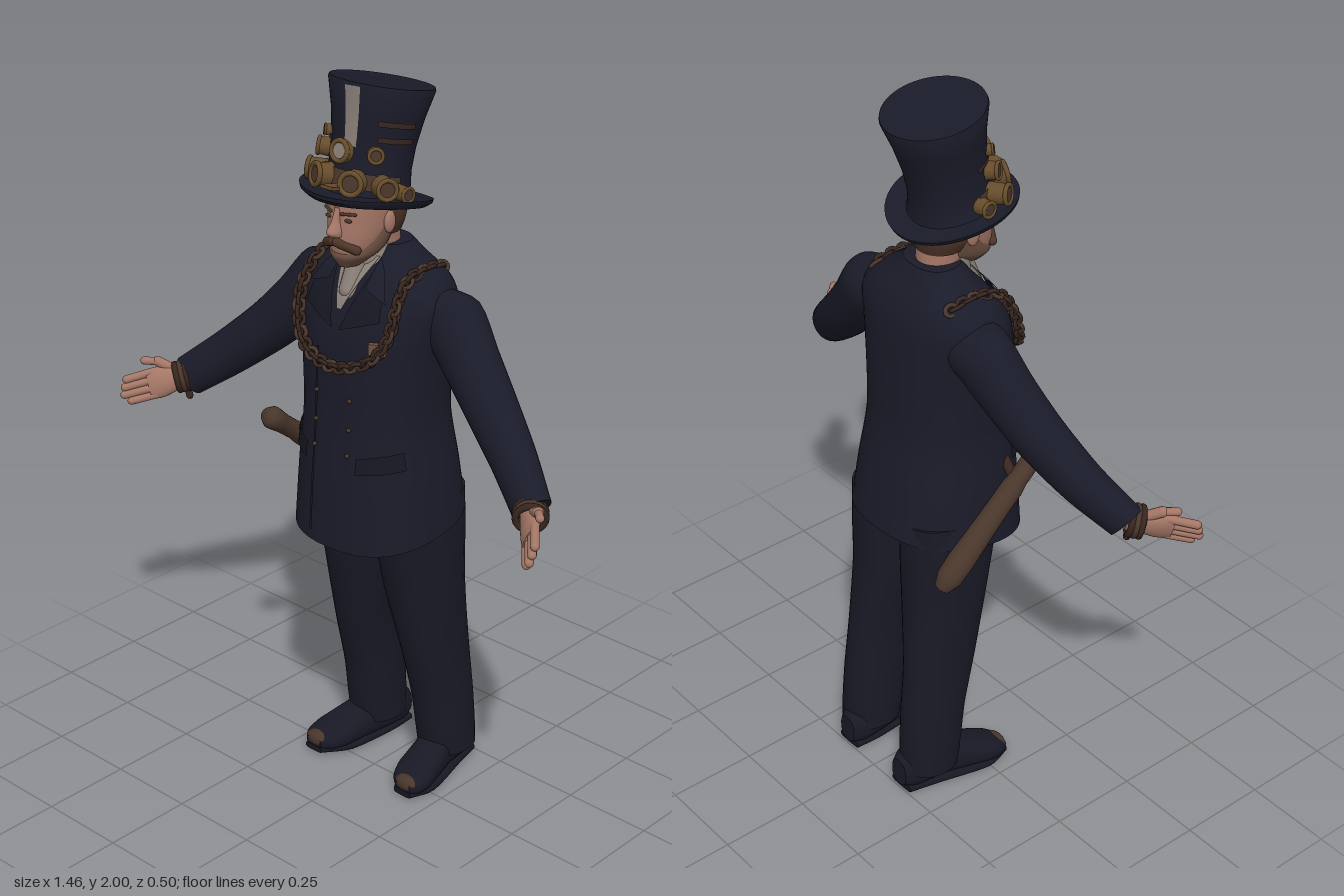
import * as THREE from 'three';
import { toCreasedNormals } from 'three/addons/utils/BufferGeometryUtils.js';

const V = (x, y, z) => new THREE.Vector3(x, y, z), X = V(1, 0, 0), Y = V(0, 1, 0), Z = V(0, 0, 1);
const mat = (name, color) => Object.assign(new THREE.MeshStandardMaterial({ color, side: THREE.DoubleSide }), { name });
const M = {
  coat: mat('navy cloth', 0x1a1b29), trim: mat('dark navy trim', 0x161722), trousers: mat('trouser cloth', 0x181925),
  skin: mat('skin', 0xa57767), hair: mat('brown hair', 0x4d3428), stubble: mat('short beard', 0x6e5143),
  brass: mat('old brass', 0x664c2b), leather: mat('brown leather', 0x49362b), chain: mat('dark bronze', 0x38261f),
  linen: mat('pale linen', 0x8b8179),
};

function add(parent, name, geo, material, x = 0, y = 0, z = 0) {
  const m = Object.assign(new THREE.Mesh(geo, material), { name });
  m.position.set(x, y, z);
  parent.add(m);
  return m;
}

// Smooth curves through sections [x, y, z, halfU, halfV, tilt]
function curves(secs) {
  const c = f => new THREE.CatmullRomCurve3(secs.map(f), false, 'catmullrom', 0.4);
  return [c(s => V(s[0], s[1], s[2])), c(s => V(s[3], s[4], s[5] || 0))];
}

// Closed body skinned over superellipse sections, with flat end caps
function loft(secs, u = X, v = Z, n = 2, segs = 32) {
  const [P, Q] = curves(secs), rows = (secs.length - 1) * 4, pos = [], idx = [];
  const rings = [[0, 0], [0, 1], ...Array.from({ length: rows + 1 }, (_, r) => [r / rows, 1]), [1, 1], [1, 0]];
  rings.forEach(([t, size], r) => {
    const p = P.getPoint(t), q = Q.getPoint(t);
    for (let i = 0; i < segs; i++) {
      const a = i / segs * Math.PI * 2, f = k => size * Math.sign(k) * Math.abs(k) ** (2 / n);
      const du = q.x * f(Math.cos(a)), dv = q.y * f(Math.sin(a));
      const w = p.clone().addScaledVector(u, du).addScaledVector(v, dv);
      pos.push(w.x, w.y + q.z * dv, w.z);
      const c = r * segs + i, d = r * segs + (i + 1) % segs;
      if (r < rings.length - 1) idx.push(c, c + segs, d, d, c + segs, d + segs);
    }
  });
  const g = new THREE.BufferGeometry().setIndex(idx);
  g.setAttribute('position', new THREE.Float32BufferAttribute(pos, 3));
  g.computeVertexNormals();
  return g;
}

// Rounded rod between two points
function rod(parent, name, a, b, r, material) {
  const d = b.clone().sub(a), m = add(parent, name, new THREE.CapsuleGeometry(r, d.length(), 5, 12), material);
  m.position.copy(a).addScaledVector(d, 0.5);
  m.quaternion.setFromUnitVectors(Y, d.normalize());
}

const coatSecs = [[0, .79, -.024, .218, .207, -.16], [0, .95, -.018, .205, .19, -.05], [0, 1.1, -.012, .19, .17],
  [0, 1.25, -.012, .198, .163], [0, 1.35, -.015, .212, .154], [0, 1.43, -.025, .222, .136],
  [0, 1.485, -.032, .195, .11], [0, 1.525, -.036, .128, .082], [0, 1.562, -.036, .078, .06]];
const [coatP, coatQ] = curves(coatSecs);
// Depth of the coat's front surface at x, y
function coatZ(x, y) {
  let lo = 0, hi = 1;
  for (let i = 0; i < 24; i++) { const m = (lo + hi) / 2; coatP.getPoint(m).y < y ? lo = m : hi = m; }
  const q = coatQ.getPoint(lo), k = Math.min(1, Math.abs(x / q.x));
  return coatP.getPoint(lo).z + q.y * (1 - k ** 2.4) ** (1 / 2.4);
}
// Thin cloth patch over the coat front, corners [x, y] in order
function drape(parent, name, [a, b, c, d], off, material) {
  const g = new THREE.PlaneGeometry(1, 1, 10, 10), p = g.attributes.position;
  for (let i = 0; i < p.count; i++) {
    const s = p.getX(i) + .5, t = p.getY(i) + .5;
    const [x, y] = [0, 1].map(k => (a[k] * (1 - s) + b[k] * s) * (1 - t) + (d[k] * (1 - s) + c[k] * s) * t);
    p.setXYZ(i, x, y, coatZ(x, y) + off);
  }
  g.computeVertexNormals();
  add(parent, name, g, material);
}

function buildCoat(root) {
  add(root, 'coat', loft(coatSecs, X, Z, 2.4, 48), M.coat);
  for (const s of [-1, 1]) {
    drape(root, 'lapel', [[s * .012, 1.36], [s * .125, 1.40], [s * .115, 1.46], [s * .062, 1.515]], .009, M.trim);
    drape(root, 'collar', [[s * .06, 1.47], [s * .13, 1.445], [s * .1, 1.5], [s * .062, 1.54]], .013, M.coat);
    drape(root, 'pocketFlap', [[s * .085, .985], [s * .185, 1.0], [s * .178, 1.05], [s * .085, 1.03]], .008, M.trim);
    for (const y of [1.03, 1.1, 1.18])
      add(root, 'button', new THREE.SphereGeometry(.006, 10, 8), M.leather, s * .057, y, coatZ(s * .057, y) + .004);
  }
  drape(root, 'frontEdge', [[-.062, .79], [-.054, .79], [-.054, 1.3], [-.062, 1.3]], .004, M.trim);
  drape(root, 'shirtFront', [[-.008, 1.41], [.008, 1.41], [.058, 1.54], [-.058, 1.54]], .012, M.linen);
  add(root, 'scarf', loft([[0, 1.5, .008, .062, .06], [0, 1.53, .01, .062, .06], [0, 1.565, .01, .055, .052]]), M.linen);
  rod(root, 'scarfKnot', V(0, 1.45, .092), V(0, 1.51, .066), .027, M.linen);
}

// Sleeve, wrist bands and hand of the +x side
function buildArm(side) {
  const d = V(.714, -.646, .27).normalize(), u = V(.65, .74, 0).normalize(), v = d.clone().cross(u).normalize();
  add(side, 'sleeve', loft([[.12, 1.408, -.05, .077, .075], [.215, 1.387, -.052, .091, .075], [.3, 1.3, -.032, .08, .07],
    [.39, 1.212, -.006, .071, .066], [.5, 1.118, .035, .064, .056], [.605, 1.035, .088, .057, .046]], u, v), M.coat);
  const hd = V(.633, -.2, .748).normalize(), hu = V(.35, .92, -.05).normalize(), hv = hd.clone().cross(hu);
  const at = (s, k) => V(.6, 1.04, .09).addScaledVector(hd, s).addScaledVector(hu, k);
  for (let i = 0; i < 3; i++) {
    const b = add(side, 'bracelet', new THREE.TorusGeometry(.037, .009, 8, 20), i % 2 ? M.leather : M.chain);
    b.position.copy(at(.012 + i * .013, 0));
    b.quaternion.setFromUnitVectors(Z, hd);
  }
  rod(side, 'charm', V(.603, 1.0, .1), V(.597, .98, .1), .01, M.chain);
  const sec = (s, k, a, b) => [...at(s, k).toArray(), a, b];
  add(side, 'palm', loft([sec(0, 0, .03, .026), sec(.045, 0, .036, .024), sec(.085, -.002, .043, .021),
    sec(.12, -.003, .04, .014)], hu, hv), M.skin);
  [.175, .184, .19, .175].forEach((s, i) => rod(side, 'finger', at(.1, .03 - i * .021), at(s, .026 - i * .02), .0115, M.skin));
  rod(side, 'thumb', at(.045, .025), at(.08, .055), .014, M.skin);
  rod(side, 'thumbTip', at(.08, .055), at(.115, .065), .011, M.skin);
}

// Trouser leg and shoe of the +x side
function buildLeg(side) {
  add(side, 'trouserLeg', loft([[.1, .87, -.062, .102, .14], [.102, .75, -.07, .101, .134], [.105, .6, -.083, .095, .12],
    [.12, .4, -.112, .075, .106], [.125, .25, -.138, .073, .094], [.128, .14, -.15, .074, .088],
    [.129, .06, -.158, .074, .082]], X, Z, 2.2), M.trousers);
  add(side, 'shoe', loft([[.116, .055, -.252, .03, .042], [.12, .062, -.215, .05, .058], [.128, .063, -.13, .052, .06],
    [.143, .052, -.06, .056, .049], [.156, .04, .005, .06, .037], [.164, .034, .045, .05, .027],
    [.168, .031, .068, .028, .016]], X, Y, 2.4), M.trousers);
  add(side, 'sole', loft([[.118, .01, -.245, .04, .01], [.126, .01, -.16, .052, .01], [.153, .01, -.01, .063, .01],
    [.168, .014, .07, .03, .009]], X, Y, 4), M.trim);
  add(side, 'toeCap', new THREE.SphereGeometry(.03, 16, 10), M.leather, .168, .037, .049).scale.set(1.3, .8, .8);
}

function buildHead(root) {
  add(root, 'neck', loft([[0, 1.46, -.03, .055, .055], [0, 1.55, -.015, .055, .06], [0, 1.63, .0, .06, .072]]), M.skin);
  add(root, 'face', loft([[0, 1.53, .085, .028, .037], [0, 1.56, .07, .055, .066], [0, 1.6, .05, .07, .09],
    [0, 1.64, .035, .078, .102], [0, 1.69, .032, .082, .102], [0, 1.73, .034, .08, .095]], X, Z, 2.15), M.skin);
  add(root, 'beard', loft([[0, 1.52, .088, .025, .034], [0, 1.55, .071, .058, .068], [0, 1.575, .052, .07, .075],
    [0, 1.62, .03, .0785, .06], [0, 1.67, .02, .084, .05]]), M.stubble);
  add(root, 'backHair', loft([[0, 1.59, -.008, .062, .065], [0, 1.62, .0, .077, .082], [0, 1.65, .0, .083, .086],
    [0, 1.67, .005, .083, .083, .2]]), M.hair);
  add(root, 'nose', loft([[0, 1.607, .14, .017, .018], [0, 1.62, .142, .018, .027], [0, 1.645, .134, .011, .018],
    [0, 1.68, .125, .009, .014]]), M.skin);
  for (const s of [-1, 1]) {
    rod(root, 'moustache', V(s * .006, 1.592, .143), V(s * .05, 1.574, .118), .012, M.hair);
    rod(root, 'eyebrow', V(s * .018, 1.667, .138), V(s * .05, 1.668, .122), .004, M.hair);
    add(root, 'eye', new THREE.SphereGeometry(.01, 12, 8), M.hair, s * .032, 1.65, .129).scale.set(1.2, .5, .6);
    add(root, 'ear', new THREE.SphereGeometry(.027, 14, 10), M.skin, s * .08, 1.635, .03).scale.set(.4, 1.1, .7);
  }
}

function buildHat(root) {
  const hat = Object.assign(new THREE.Group(), { name: 'topHat' });
  hat.position.set(.003, 1.686, .034);
  hat.rotation.x = -.215;
  root.add(hat);
  const pts = l => l.map(p => new THREE.Vector2(...p));
  const wall = [[.108, .03], [.103, .08], [.106, .14], [.117, .21], [.134, .281]];
  const g = new THREE.LatheGeometry(pts([[0, .004], [.1, -.012], [.15, -.014], [.166, -.004], [.169, .006], [.15, .004],
    [.115, .01], ...wall, [.132, .288], [.12, .287], [0, .284]]), 56), p = g.attributes.position;
  for (let i = 0; i < p.count; i++) // brim curls up at the sides
    if (p.getY(i) < .02) p.setY(i, p.getY(i) + .6 * p.getX(i) ** 2);
  add(hat, 'crownAndBrim', toCreasedNormals(g, .7), M.coat);
  // Curved strips lying on the crown
  const wallR = y => {
    const i = wall.findIndex((w, k) => k && w[1] >= y), [a, b] = [wall[i - 1], wall[i]];
    return a[0] + (b[0] - a[0]) * (y - a[1]) / (b[1] - a[1]);
  };
  const strip = (name, from, to, phi, len, off, m) => add(hat, name, new THREE.LatheGeometry(
    pts([0, 1, 2, 3, 4, 5, 6].map(k => from + (to - from) * k / 6).map(y => [wallR(y) + off, y])), 24, phi, len), m);
  strip('paleStripe', .13, .28, .0, .33, .003, M.linen);
  strip('hatBand', .03, .07, -1.5, 3, .006, M.leather);
  for (const [y, a] of [[.15, .8], [.19, .75], [.13, -1.4]]) strip('sideStrap', y, y + .014, a, .9, .004, M.chain);
  // Round fittings [angle, height, radius, depth]
  for (const [a, y, r, dep] of [[-.42, .045, .034, .04], [.42, .045, .034, .04], [-1.05, .045, .03, .05], [1.05, .045, .03, .05],
    [-.95, .105, .026, .03], [.8, .12, .022, .025], [0, .115, .032, .018], [-1.5, .04, .024, .035],
    [1.45, .035, .022, .05], [-.75, .15, .016, .02]]) {
    const f = Object.assign(new THREE.Group(), { name: 'brassFitting' });
    f.position.set(.103 * Math.sin(a), y, .103 * Math.cos(a));
    f.rotation.y = a;
    hat.add(f);
    add(f, 'barrel', new THREE.CylinderGeometry(r * .85, r * .95, dep, 20).rotateX(Math.PI / 2), M.brass, 0, 0, dep / 2);
    add(f, 'rim', new THREE.TorusGeometry(r * .8, r * .2, 8, 20), M.brass, 0, 0, dep);
    add(f, 'lens', new THREE.CircleGeometry(r * .6, 20), a ? M.leather : M.linen, 0, 0, dep + .002);
  }
  add(hat, 'brassPlate', new THREE.BoxGeometry(.04, .008, .06), M.brass, .02, .03, .142);
}

function buildChain(root) {
  const half = [[.148, 1.5, -.095], [.15, 1.508, -.03], [.152, 1.495, .045],
    ...[[.158, 1.44], [.155, 1.37], [.12, 1.305], [.06, 1.275]].map(([x, y]) => [x, y, coatZ(x, y) + .016])];
  const curve = new THREE.CatmullRomCurve3([...half.map(h => V(-h[0], h[1], h[2])), V(0, 1.265, coatZ(0, 1.265) + .016),
    ...half.reverse().map(h => V(...h))]);
  for (let i = 0; i <= 56; i++) {
    const m = add(root, 'chainLink', new THREE.TorusGeometry(.014, .0055, 6, 12), i % 4 ? M.chain : M.leather);
    m.position.copy(curve.getPointAt(i / 56));
    m.quaternion.setFromUnitVectors(X, curve.getTangentAt(i / 56));
    m.rotateX(i % 2 ? .8 : -.8);
    m.scale.x = 1.25;
  }
  add(root, 'chestCharm', new THREE.BoxGeometry(.045, .03, .014), M.stubble, .13, 1.335, coatZ(.13, 1.335) + .01).rotation.y = .5;
}

// Club hanging at the model's right hip
function buildClub(root) {
  const a = V(-.226, 1.06, .168), b = V(-.257, .76, -.222), d = b.clone().sub(a), L = d.length();
  const prof = [[0, 0], [.022, .004], [.031, .025], [.029, .05], [.026, .08], [.026, .14], [.03, .17],
    [.03, .22], [.032, .3], [.036, .4], [.034, L - .04], [.02, L - .006], [0, L]];
  const m = add(root, 'club', new THREE.LatheGeometry(prof.map(p => new THREE.Vector2(...p)), 24), M.leather);
  m.position.copy(a);
  m.quaternion.setFromUnitVectors(Y, d.normalize());
  rod(root, 'clubStrap', V(-.16, 1.02, .06), V(-.235, .97, .05), .014, M.chain);
}

export function createModel() {
  const root = Object.assign(new THREE.Group(), { name: 'gentleman' });
  for (const s of [1, -1]) {
    const side = Object.assign(new THREE.Group(), { name: s > 0 ? 'leftLimbs' : 'rightLimbs' });
    side.scale.x = s;
    for (const build of [buildArm, buildLeg]) build(side);
    root.add(side);
  }
  for (const build of [buildCoat, buildHead, buildHat, buildChain, buildClub]) build(root);
  return root;
}
